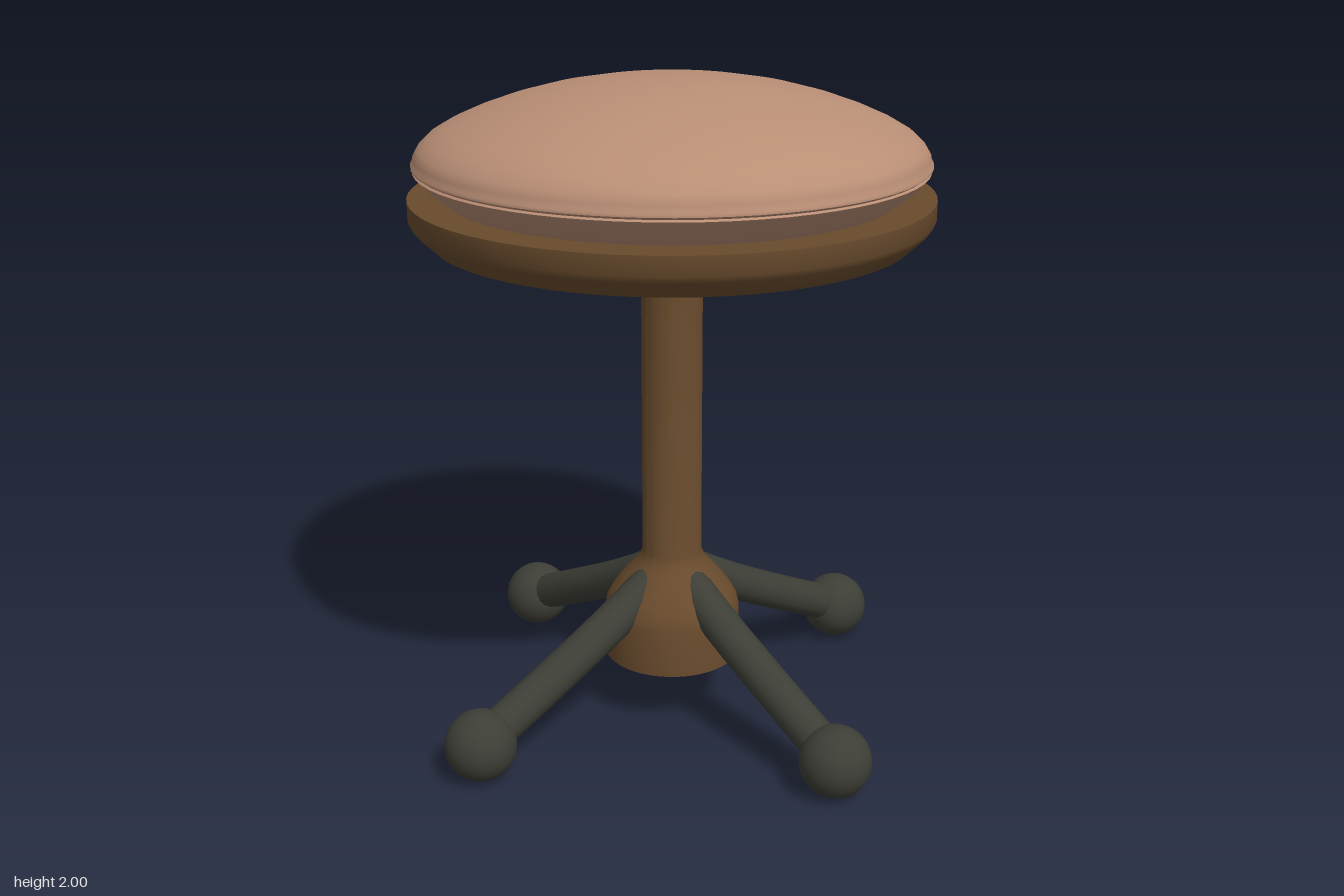
import * as THREE from 'three';
import { toCreasedNormals } from 'three/addons/utils/BufferGeometryUtils.js';

const material = (name, color) => Object.assign(new THREE.MeshStandardMaterial({ color }), { name });

// Revolved part from [radius, height] pairs, listed from bottom to top
function turned(name, profile, mat, crease = 0.6) {
  const points = profile.map(([r, y]) => new THREE.Vector2(r, y));
  const mesh = new THREE.Mesh(toCreasedNormals(new THREE.LatheGeometry(points, 64), crease), mat);
  mesh.name = name;
  return mesh;
}

export function createModel() {
  const fabric = material('tan upholstery', 0xb98e75);
  const wood = material('brown wood', 0x694b2d);
  const iron = material('dark iron', 0x3d3e36);

  const stool = new THREE.Group();
  stool.name = 'stool';

  // Padded cushion: tucked lower half, seam groove, domed top
  stool.add(turned('cushion', [
    [0, 1.65], [0.63, 1.65], [0.66, 1.665], [0.70, 1.695], [0.73, 1.725], [0.748, 1.745],
    [0.742, 1.75], [0.752, 1.757], [0.752, 1.765], [0.745, 1.772],
    [0.745, 1.785], [0.73, 1.81], [0.70, 1.838], [0.65, 1.867], [0.58, 1.898], [0.49, 1.93],
    [0.38, 1.96], [0.26, 1.982], [0.13, 1.996], [0, 2.0],
  ], fabric, 0.8));

  // Seat board with bevelled underside
  stool.add(turned('seatBoard', [
    [0, 1.54], [0.705, 1.54], [0.757, 1.59], [0.768, 1.61], [0.768, 1.665], [0, 1.665],
  ], wood));

  // Flared collar under the board
  stool.add(turned('collar', [[0.088, 1.505], [0.12, 1.515], [0.21, 1.542]], wood));

  // Column with bell-shaped hub, slightly hollow below
  stool.add(turned('column', [
    [0, 0.25], [0.2, 0.25], [0.2, 0.19], [0.212, 0.19], [0.212, 0.34], [0.205, 0.37],
    [0.185, 0.405], [0.155, 0.445], [0.12, 0.485], [0.1, 0.51], [0.092, 0.535], [0.092, 1.55],
  ], wood));

  // Four splayed legs, each ending in a ball foot
  const path = new THREE.CatmullRomCurve3([
    [0.04, 0.465], [0.25, 0.345], [0.5, 0.22], [0.738, 0.108],
  ].map(([x, y]) => new THREE.Vector3(x, y, 0)));
  const legGeometry = new THREE.TubeGeometry(path, 16, 0.06, 16);
  const footGeometry = new THREE.SphereGeometry(0.107, 32, 20);
  for (let i = 0; i < 4; i++) {
    const leg = new THREE.Group();
    leg.name = `leg${i + 1}`;
    const bar = new THREE.Mesh(legGeometry, iron);
    bar.name = 'legBar';
    const foot = new THREE.Mesh(footGeometry, iron);
    foot.name = 'ballFoot';
    foot.position.set(0.738, 0.107, 0);
    leg.add(bar, foot);
    leg.rotation.y = i * Math.PI / 2;
    stool.add(leg);
  }
  return stool;
}
